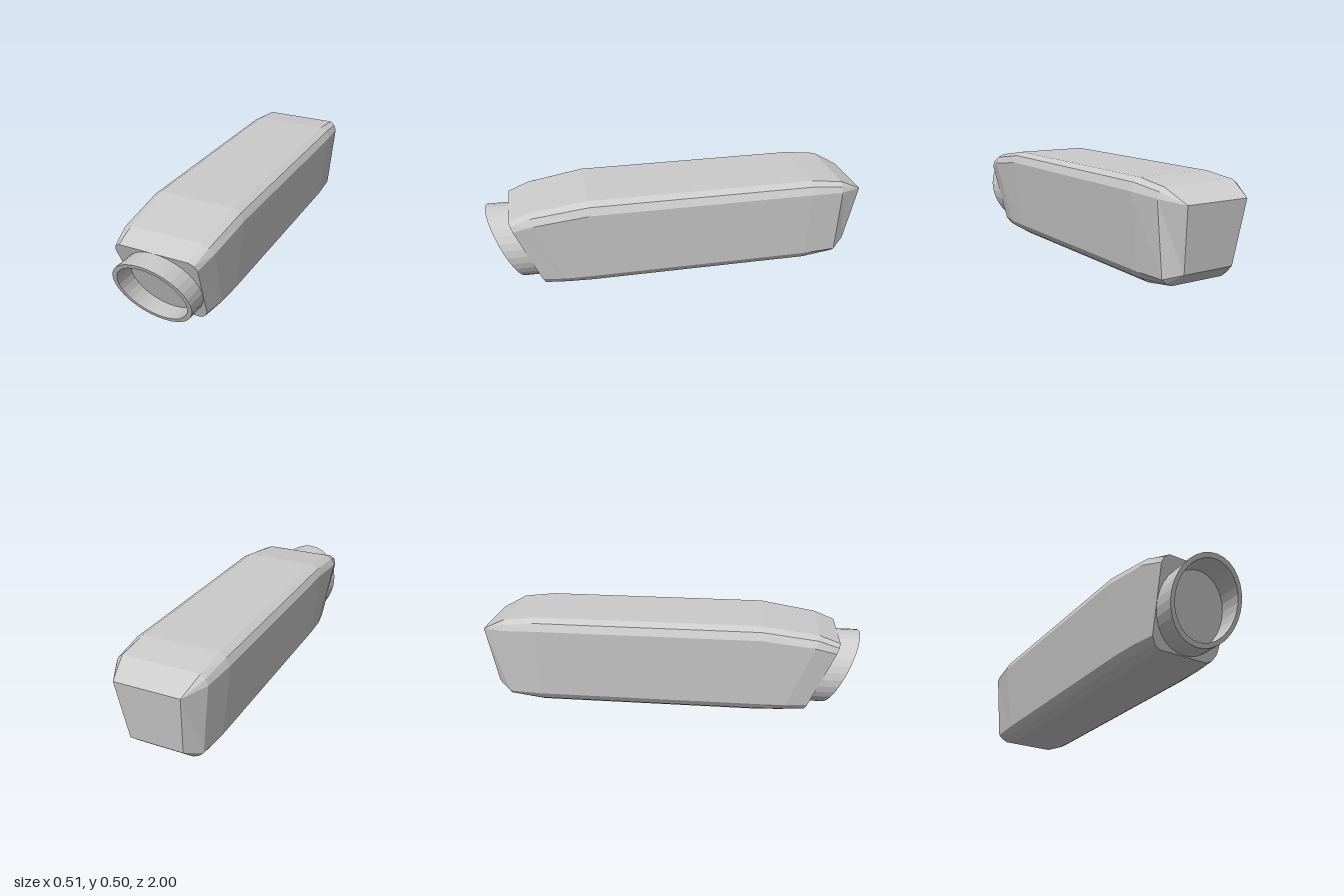
import * as THREE from 'three';

const grey = (side = THREE.FrontSide) =>
  new THREE.MeshStandardMaterial({ color: 0xcccccc, flatShading: true, side });

// Right-hand half outlines, top to bottom, as [x, y]; the other half is mirrored.
const fullOutline = [[0.2, 0.5], [0.236, 0.48], [0.253, 0.44], [0.213, 0.062], [0.187, 0.025], [0.147, 0]];
const shoulderOutline = [[0.185, 0.456], [0.223, 0.44], [0.243, 0.405], [0.207, 0.06], [0.18, 0.025], [0.145, 0.005]];
const noseOutline = [[0.18, 0.414], [0.205, 0.399], [0.216, 0.37], [0.188, 0.06], [0.166, 0.026], [0.137, 0.01]];
const rearOutline = [[0.2, 0.48], [0.224, 0.46], [0.236, 0.43], [0.203, 0.065], [0.178, 0.042], [0.147, 0.028]];

// Places an outline at a z that may lean with height.
function station(outline, z, lean = 0) {
  const half = outline.map(([x, y]) => new THREE.Vector3(x, y, z + lean * y));
  const mirrored = half.map((p) => new THREE.Vector3(-p.x, p.y, p.z)).reverse();
  return [...half, ...mirrored];
}

// Skins a row of stations (front to back) and caps both ends.
function loft(rings) {
  const pos = [];
  const tri = (a, b, c) => {
    const n = b.clone().sub(a).cross(c.clone().sub(a));
    if (n.length() > 1e-9) pos.push(...a.toArray(), ...b.toArray(), ...c.toArray());
  };
  const count = rings[0].length;
  for (let i = 0; i < rings.length - 1; i++) {
    for (let j = 0; j < count; j++) {
      const k = (j + 1) % count;
      tri(rings[i][j], rings[i][k], rings[i + 1][k]);
      tri(rings[i][j], rings[i + 1][k], rings[i + 1][j]);
    }
  }
  const front = rings[0];
  const back = rings[rings.length - 1];
  for (let j = 1; j < count - 1; j++) {
    tri(front[0], front[j + 1], front[j]);
    tri(back[0], back[j], back[j + 1]);
  }
  const geometry = new THREE.BufferGeometry();
  geometry.setAttribute('position', new THREE.Float32BufferAttribute(pos, 3));
  geometry.computeVertexNormals();
  return geometry;
}

export function createModel() {
  const group = new THREE.Group();

  // Bevelled casing: leaning nose, straight middle, tapered tail closing to a four-cornered face
  const tailTop = [0.17, 0.415];
  const tailBottom = [0.14, 0.095];
  const tailOutline = [tailTop, tailTop, tailTop, tailBottom, tailBottom, tailBottom];
  const body = new THREE.Mesh(loft([
    station(noseOutline, 0.716, 0.4),
    station(shoulderOutline, 0.6, 0.38),
    station(fullOutline, 0.48),
    station(fullOutline, -0.7),
    station(rearOutline, -0.875),
    station(tailOutline, -0.935, -0.156),
  ]), grey());
  body.name = 'body';
  group.add(body);

  // Round open collar, sheared so its rim leans with the nose
  const profile = [[0.2, -0.16], [0.2, 0], [0.177, 0], [0.177, -0.16]]
    .map(([r, h]) => new THREE.Vector2(r, h));
  const collarGeometry = new THREE.LatheGeometry(profile, 32);
  collarGeometry.rotateX(Math.PI / 2);
  const p = collarGeometry.attributes.position;
  for (let i = 0; i < p.count; i++) p.setZ(i, p.getZ(i) + 0.45 * p.getY(i));
  collarGeometry.translate(0, 0.214, 0.91);
  collarGeometry.computeVertexNormals();
  const collar = new THREE.Mesh(collarGeometry, grey(THREE.DoubleSide));
  collar.name = 'collar';
  group.add(collar);

  return group;
}
